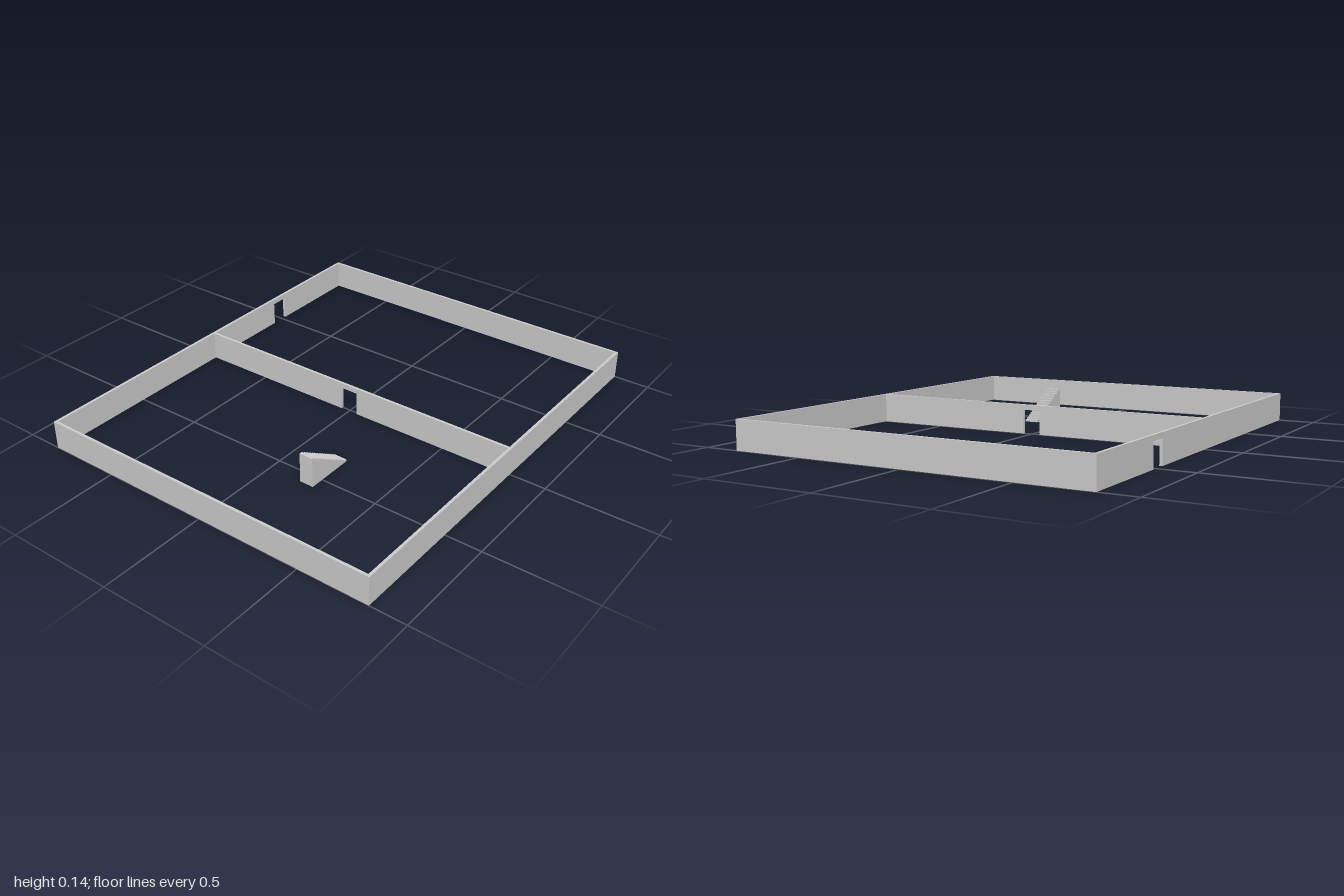
import * as THREE from 'three';

const W = 0.833, D = 1, H = 0.133, T = 0.013; // half width, half depth, wall height, thickness
const DOOR_W = 0.085, DOOR_H = 0.109;
const material = new THREE.MeshStandardMaterial({ color: 0xcccccc, flatShading: true });

// Upright wall along +x from 0 to length, centred on z = 0, with an optional doorway.
function makeWall(name, length, doorCentre) {
  const s = new THREE.Shape();
  s.moveTo(0, 0);
  if (doorCentre !== undefined) {
    const a = doorCentre - DOOR_W / 2, b = doorCentre + DOOR_W / 2;
    s.lineTo(a, 0);
    s.lineTo(a, DOOR_H);
    s.lineTo(b, DOOR_H);
    s.lineTo(b, 0);
  }
  s.lineTo(length, 0);
  s.lineTo(length, H);
  s.lineTo(0, H);
  s.closePath();
  const geometry = new THREE.ExtrudeGeometry(s, { depth: T, bevelEnabled: false });
  geometry.translate(0, 0, -T / 2);
  const mesh = new THREE.Mesh(geometry, material);
  mesh.name = name;
  return mesh;
}

// Solid staircase climbing towards +z.
function makeStairs() {
  const steps = 14, run = 0.23 / steps, rise = 0.01, width = 0.066;
  const s = new THREE.Shape();
  s.moveTo(0, 0);
  for (let i = 0; i < steps; i++) {
    s.lineTo(i * run, (i + 1) * rise);
    s.lineTo((i + 1) * run, (i + 1) * rise);
  }
  s.lineTo(steps * run, 0);
  s.closePath();
  const geometry = new THREE.ExtrudeGeometry(s, { depth: width, bevelEnabled: false });
  geometry.rotateY(-Math.PI / 2); // profile runs along +z, width along -x
  const mesh = new THREE.Mesh(geometry, material);
  mesh.name = 'stairs';
  mesh.position.set(0.229, 0, 0.333);
  return mesh;
}

export function createModel() {
  const group = new THREE.Group();
  group.name = 'floorPlan';

  // Walls running left to right
  const crossWalls = [
    ['frontWall', D - T / 2],
    ['dividingWall', 0.003, W - T],
    ['backWall', -D + T / 2],
  ];
  for (const [name, z, door] of crossWalls) {
    const wall = makeWall(name, 2 * (W - T), door);
    wall.position.set(-W + T, 0, z);
    group.add(wall);
  }

  // Side walls, one length per room; the back room has a doorway on the right
  for (const side of [-1, 1]) {
    const label = side > 0 ? 'left' : 'right';
    const door = side < 0 ? 0.483 : undefined;
    for (const [room, z, d] of [['Front', D], ['Back', 0, door]]) {
      const wall = makeWall(label + room + 'Wall', D, d);
      wall.rotation.y = Math.PI / 2; // length runs towards -z
      wall.position.set(side * (W - T / 2), 0, z);
      group.add(wall);
    }
  }

  group.add(makeStairs());
  return group;
}
